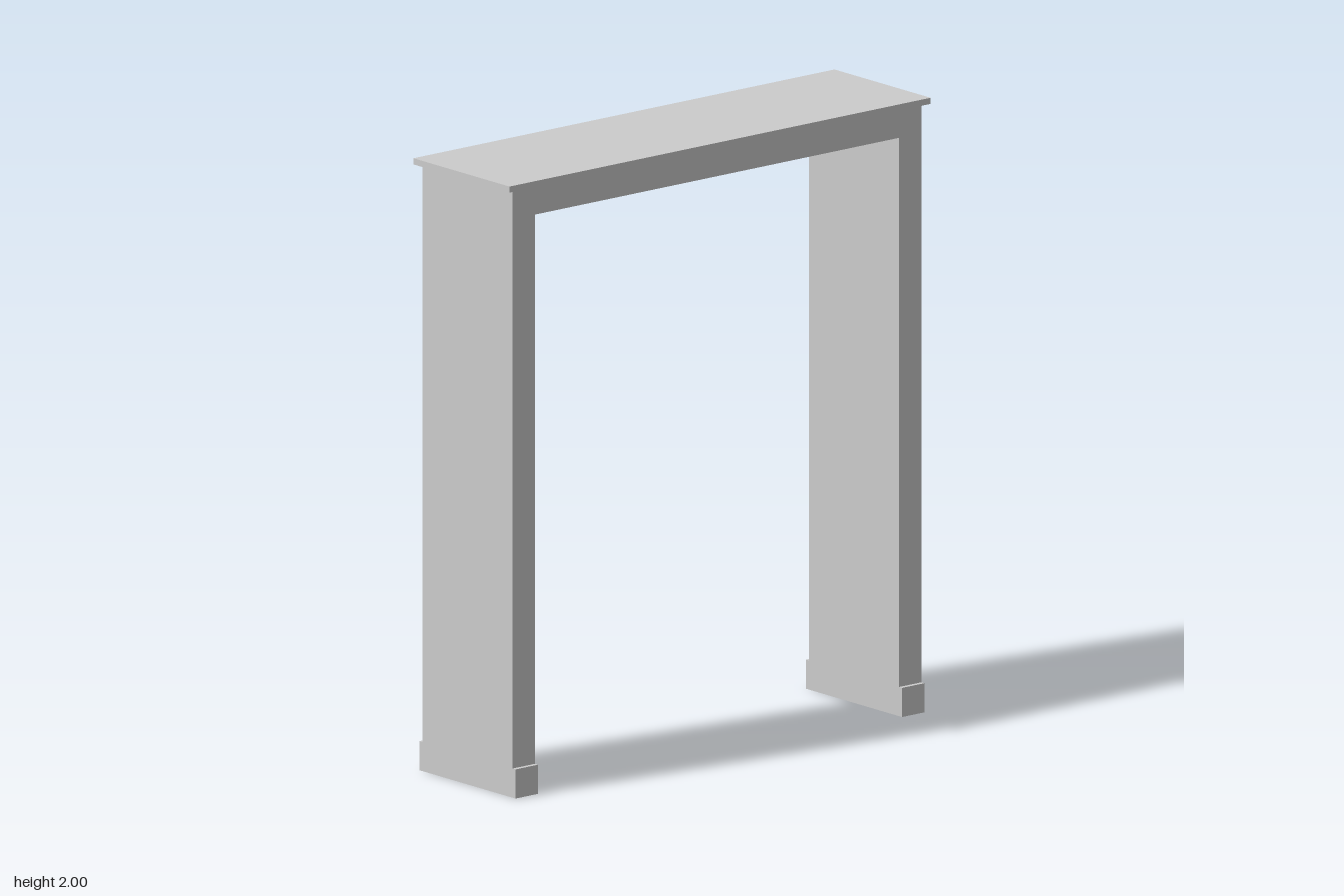
import * as THREE from 'three';

const LEG_IN = 0.753, LEG_OUT = 0.846; // leg faces along z
const HALF_W = 0.22, HALF_WIDE = 0.235; // frame / plinth and slab half widths
const PLINTH_H = 0.095, LINTEL_Y = 1.886, SLAB_Y = 1.98;

// Portal outline extruded across x, with the leg ends left open
function frameGeometry() {
  const outline = new THREE.Shape([
    [-LEG_OUT, PLINTH_H], [-LEG_IN, PLINTH_H], [-LEG_IN, LINTEL_Y], [LEG_IN, LINTEL_Y],
    [LEG_IN, PLINTH_H], [LEG_OUT, PLINTH_H], [LEG_OUT, SLAB_Y], [-LEG_OUT, SLAB_Y],
  ].map(([z, y]) => new THREE.Vector2(z, y)));
  const geo = new THREE.ExtrudeGeometry(outline, { depth: 2 * HALF_W, bevelEnabled: false });
  geo.translate(0, 0, -HALF_W).rotateY(Math.PI / 2);
  const p = geo.attributes.position, kept = [];
  for (let i = 0; i < p.count; i += 3) {
    const corners = [i, i + 1, i + 2];
    if (corners.every((k) => p.getY(k) < PLINTH_H + 1e-4)) continue;
    for (const k of corners) kept.push(p.getX(k), p.getY(k), p.getZ(k));
  }
  return fromTriangles(kept);
}

// Hollow foot: four walls, open below, with a narrow ledge at each end
function plinthGeometry() {
  const halfD = (LEG_OUT - LEG_IN) / 2;
  const rings = [[HALF_WIDE, 0], [HALF_WIDE, PLINTH_H], [HALF_W, PLINTH_H]];
  const signs = [[1, 1], [1, -1], [-1, -1], [-1, 1]];
  const corner = (r, i) => [rings[r][0] * signs[i % 4][0], rings[r][1], halfD * signs[i % 4][1]];
  const out = [];
  for (let r = 0; r < 2; r++) {
    for (let i = 0; i < 4; i++) {
      if (r === 1 && i % 2) continue; // ledges only at the x ends
      const a = corner(r, i), b = corner(r, i + 1), c = corner(r + 1, i + 1), d = corner(r + 1, i);
      out.push(...a, ...b, ...c, ...a, ...c, ...d);
    }
  }
  return fromTriangles(out);
}

function fromTriangles(points) {
  const geo = new THREE.BufferGeometry();
  geo.setAttribute('position', new THREE.Float32BufferAttribute(points, 3));
  geo.computeVertexNormals();
  return geo;
}

export function createModel() {
  const model = new THREE.Group();
  model.name = 'portal';
  const material = new THREE.MeshStandardMaterial({ color: 0xcccccc, side: THREE.DoubleSide });
  const add = (name, geo, y = 0, z = 0) => {
    const mesh = new THREE.Mesh(geo, material);
    mesh.name = name;
    mesh.position.set(0, y, z);
    model.add(mesh);
  };

  // Legs and lintel in one piece
  add('frame', frameGeometry());

  // Feet under the two legs
  const plinth = plinthGeometry();
  for (const s of [1, -1]) {
    add(s > 0 ? 'frontPlinth' : 'backPlinth', plinth, 0, s * (LEG_IN + LEG_OUT) / 2);
  }

  // Overhanging top slab
  add('topSlab', new THREE.BoxGeometry(2 * HALF_WIDE, 2 - SLAB_Y, 1.742), (2 + SLAB_Y) / 2);
  return model;
}
